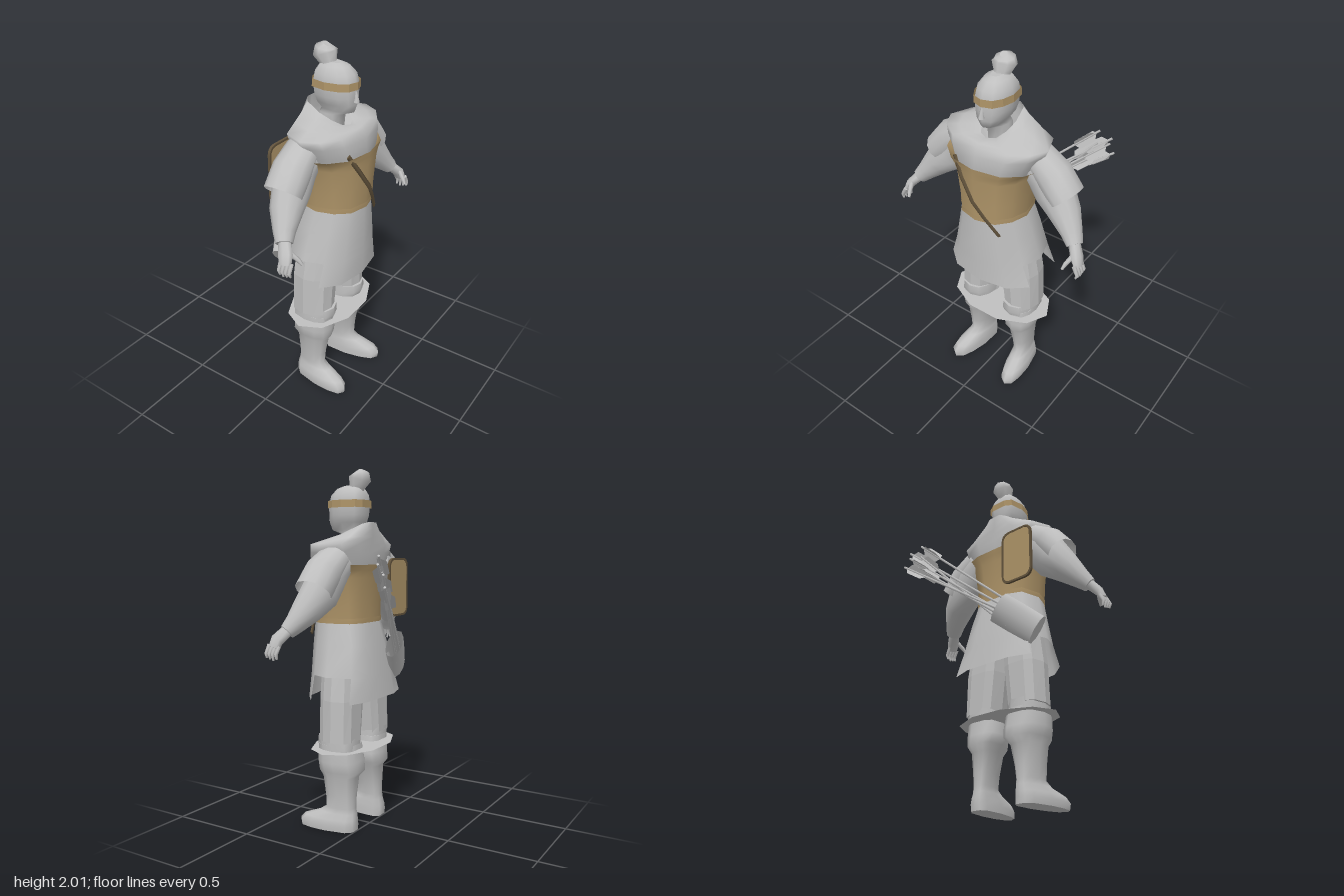
import * as THREE from 'three';

const mat = (name, color) => new THREE.MeshStandardMaterial({ name, color, side: THREE.DoubleSide });

// Half outline of a body cross-section (x, z from -1 to 1), mirrored to 12 points
const HALF = [[0, 1], [0.55, 0.85], [0.85, 0.45], [1, -0.1], [0.85, -0.8], [0.45, -1], [0, -1]];
const OUTLINE = [...HALF, ...HALF.slice(1, 6).reverse().map(([x, z]) => [-x, z])];

// Horizontal cross-section; tilt raises the front, skew turns it sideways
function oval(y, w, zf, zb, cx = 0, tilt = 0, skew = 0) {
  const cz = (zf + zb) / 2, rz = (zf - zb) / 2;
  return OUTLINE.map(([x, z]) => [cx + x * w + skew * (z * rz + cz - 0.1), y + z * tilt, cz + z * rz]);
}

// Skin a list of rings; skip(row, segment) leaves openings
function loft(rings, { flat = false, start = false, end = false, skip = () => false } = {}) {
  const n = rings[0].length, pos = rings.flat(2), index = [];
  for (let r = 0; r < rings.length - 1; r++) {
    for (let i = 0; i < n; i++) {
      if (skip(r, i)) continue;
      const a = r * n + i, b = r * n + (i + 1) % n;
      index.push(a, b, b + n, a, b + n, a + n);
    }
  }
  const cap = (ring, flip) => {
    const base = pos.length / 3, c = [0, 1, 2].map(k => ring.reduce((s, p) => s + p[k], 0) / n);
    pos.push(...ring.flat(), ...c);
    for (let i = 0; i < n; i++) {
      const a = base + i, b = base + (i + 1) % n;
      index.push(...(flip ? [b, a] : [a, b]), base + n);
    }
  };
  if (start) cap(rings[0], true);
  if (end) cap(rings[rings.length - 1], false);
  let g = new THREE.BufferGeometry();
  g.setAttribute('position', new THREE.Float32BufferAttribute(pos, 3));
  g.setIndex(index);
  if (flat) g = g.toNonIndexed();
  g.computeVertexNormals();
  return g;
}

// Skin along a path of [x, y, z, front-back radius, side radius]
function limb(path, n = 10, opts = { start: true, end: true }) {
  const pts = path.map(p => new THREE.Vector3(p[0], p[1], p[2]));
  const rings = path.map((p, k) => {
    const d = pts[Math.min(k + 1, pts.length - 1)].clone().sub(pts[Math.max(k - 1, 0)]).normalize();
    const u = new THREE.Vector3(0, 0, 1).addScaledVector(d, -d.z).normalize();
    const v = d.clone().cross(u);
    return Array.from({ length: n }, (_, i) => {
      const t = i / n * Math.PI * 2;
      return pts[k].clone().addScaledVector(u, p[3] * Math.cos(t)).addScaledVector(v, p[4] * Math.sin(t)).toArray();
    });
  });
  return loft(rings, opts);
}

function roundedRect(w, h, r) {
  const s = new THREE.Shape(), x = w / 2, y = h / 2;
  s.moveTo(-x + r, -y).lineTo(x - r, -y).quadraticCurveTo(x, -y, x, -y + r);
  s.lineTo(x, y - r).quadraticCurveTo(x, y, x - r, y).lineTo(-x + r, y);
  s.quadraticCurveTo(-x, y, -x, y - r).lineTo(-x, -y + r).quadraticCurveTo(-x, -y, -x + r, -y);
  return s;
}

export function createModel() {
  const model = new THREE.Group();
  const grey = mat('grey cloth', 0xbfbfbf), tan = mat('tan leather', 0xae9468), brown = mat('dark leather', 0x62533c);
  const add = (name, geo, m = grey, parent = model) => {
    const mesh = new THREE.Mesh(geo, m);
    mesh.name = name;
    parent.add(mesh);
    return mesh;
  };
  const closed = { start: true, end: true };

  // Head, nose, headband and topknot
  add('head', loft([
    oval(1.56, 0.06, 0.17, 0.04), oval(1.66, 0.055, 0.18, 0.05), oval(1.68, 0.05, 0.24, 0.06),
    oval(1.72, 0.078, 0.25, 0.04), oval(1.76, 0.09, 0.25, 0.03), oval(1.82, 0.097, 0.25, 0.025),
    oval(1.87, 0.088, 0.235, 0.03), oval(1.905, 0.062, 0.2, 0.05), oval(1.92, 0.03, 0.16, 0.08)], closed));
  add('nose', limb([[0, 1.735, 0.25, 0.019, 0.017], [0, 1.755, 0.25, 0.013, 0.012], [0, 1.79, 0.245, 0.006, 0.007]], 6));
  add('headband', loft([oval(1.8, 0.101, 0.258, 0.018), oval(1.84, 0.1, 0.257, 0.018)], { flat: true }), tan);
  add('topknot', limb([
    [0, 1.88, 0.09, 0.05, 0.055], [0, 1.915, 0.08, 0.045, 0.045], [0, 1.955, 0.063, 0.062, 0.066],
    [0, 1.982, 0.06, 0.05, 0.052], [0, 1.998, 0.07, 0.02, 0.02]], 8));

  // Upper robe with a standing collar, high at the back
  add('upperRobe', loft([
    oval(1.4, 0.2, 0.31, 0), oval(1.49, 0.25, 0.322, -0.015), oval(1.555, 0.285, 0.315, -0.018),
    oval(1.6, 0.305, 0.3, -0.018), oval(1.625, 0.22, 0.28, -0.02, 0, -0.015),
    oval(1.65, 0.135, 0.255, -0.02, 0, -0.035), oval(1.665, 0.085, 0.22, -0.018, 0, -0.055)]));

  // Leather corset with flared armholes, and its belt
  add('corset', loft([
    oval(1.17, 0.193, 0.328, -0.006), oval(1.28, 0.2, 0.328, -0.004), oval(1.42, 0.222, 0.333, -0.012),
    oval(1.46, 0.245, 0.336, -0.02), oval(1.49, 0.285, 0.338, -0.025)]), tan);
  add('belt', loft([oval(1.172, 0.197, 0.332, -0.01), oval(1.2, 0.197, 0.332, -0.01)]), tan);
  add('chestStrap', limb([
    [0.135, 1.105, 0.302, 0.006, 0.014], [0.06, 1.21, 0.33, 0.006, 0.014],
    [0, 1.295, 0.345, 0.006, 0.014], [-0.08, 1.41, 0.328, 0.006, 0.014], [-0.14, 1.505, 0.3, 0.006, 0.014]], 4), brown);

  // Skirt, split at both sides near the hem
  add('skirt', loft([
    oval(0.75, 0.318, 0.325, -0.078), oval(0.885, 0.268, 0.325, -0.06), oval(1.05, 0.225, 0.324, -0.035),
    oval(1.2, 0.188, 0.318, 0)], { skip: (r, i) => r === 0 && [2, 3, 8, 9].includes(i) }));

  for (const s of [1, -1]) {
    const side = s > 0 ? 'left' : 'right';

    // Legs
    add(side + 'Trouser', loft([
      oval(0.52, 0.104, 0.218, 0, s * 0.152), oval(0.75, 0.115, 0.218, 0, s * 0.135),
      oval(0.95, 0.105, 0.22, 0.01, s * 0.115)], { flat: true, start: true }));
    add(side + 'KneeWrap', loft([
      oval(0.47, 0.1, 0.225, 0, s * 0.145), oval(0.5, 0.1, 0.235, 0, s * 0.145),
      oval(0.545, 0.098, 0.232, 0, s * 0.145)], closed));
    const boot = (y, w, zf, zb, cx) => oval(y, w, zf, zb, s * cx, 0, s * 0.12);
    add(side + 'Boot', loft([
      boot(0, 0.066, 0.345, 0.005, 0.16), boot(0.035, 0.068, 0.35, 0.003, 0.162), boot(0.065, 0.063, 0.32, 0.005, 0.16),
      boot(0.1, 0.053, 0.225, 0.01, 0.155), boot(0.13, 0.05, 0.182, 0.015, 0.155), boot(0.2, 0.058, 0.185, 0.015, 0.152),
      boot(0.31, 0.076, 0.2, 0.008, 0.145), boot(0.345, 0.098, 0.222, -0.02, 0.14),
      boot(0.4, 0.108, 0.226, -0.01, 0.14), boot(0.5, 0.098, 0.222, 0, 0.145)], closed));

    // Sleeves
    const arm = (name, path, n, opts) => add(side + name, limb(path.map(([x, ...p]) => [s * x, ...p]), n, opts));
    arm('Sleeve', [
      [0.515, 1.155, 0.18, 0.045, 0.042], [0.48, 1.195, 0.155, 0.058, 0.056], [0.415, 1.27, 0.12, 0.085, 0.085],
      [0.335, 1.35, 0.095, 0.095, 0.115], [0.28, 1.43, 0.088, 0.095, 0.12], [0.19, 1.5, 0.088, 0.09, 0.09]], 12);
    arm('UpperSleeve', [
      [0.405, 1.355, 0.095, 0.105, 0.09], [0.32, 1.45, 0.09, 0.104, 0.098], [0.22, 1.53, 0.085, 0.09, 0.075]], 12, {});

    // Hand with bent fingers and thumb
    arm('Palm', [[0.57, 1.075, 0.225, 0.036, 0.018], [0.552, 1.115, 0.215, 0.042, 0.026], [0.505, 1.17, 0.175, 0.032, 0.03]], 8);
    for (let f = 0; f < 4; f++) {
      const z = 0.195 + f * 0.021;
      arm('Finger' + (f + 1), [[0.578, 1.012 + Math.abs(f - 1) * 0.006, z + 0.005, 0.006, 0.006],
        [0.586, 1.045, z + 0.003, 0.011, 0.01], [0.562, 1.09, z, 0.012, 0.012]], 6);
    }
    arm('Thumb', [[0.512, 1.068, 0.288, 0.007, 0.007], [0.52, 1.095, 0.268, 0.013, 0.012], [0.54, 1.135, 0.225, 0.015, 0.015]], 6);
  }

  // Flat cloth disc around the knees
  const disc = add('kneeDisc', new THREE.CircleGeometry(1, 10).rotateX(-Math.PI / 2));
  disc.scale.set(0.317, 1, 0.2);
  disc.position.set(0.005, 0.47, 0.107);

  // Padded plate on the back
  const plate = new THREE.Group();
  plate.name = 'backPlate';
  plate.position.set(-0.205, 1.36, -0.068);
  add('platePanel', new THREE.ExtrudeGeometry(roundedRect(0.19, 0.31, 0.05), { depth: 0.008, bevelEnabled: false }), tan, plate);
  const rim = roundedRect(0.21, 0.33, 0.055);
  rim.holes.push(roundedRect(0.188, 0.308, 0.05));
  add('plateRim', new THREE.ExtrudeGeometry(rim, { depth: 0.014, bevelEnabled: false }).translate(0, 0, -0.003), brown, plate);
  model.add(plate);

  // Quiver slung low across the back
  add('quiver', limb([[-0.295, 0.885, -0.01, 0.042, 0.085], [-0.2, 0.965, -0.055, 0.045, 0.09],
    [-0.105, 1.045, -0.1, 0.045, 0.09]], 10, { start: true }));

  // Arrows fanning out of the quiver, feathers up
  const up = new THREE.Vector3(0, 1, 0);
  const feather = new THREE.Shape([[0, 0], [0.034, 0.025], [0.034, 0.12], [0, 0.15]].map(p => new THREE.Vector2(...p)));
  const tips = [[0.36, 1.54, -0.27], [0.42, 1.5, -0.3], [0.4, 1.45, -0.32], [0.42, 1.39, -0.34], [0.34, 1.37, -0.31], [0.35, 1.46, -0.28]];
  tips.forEach((tip, k) => {
    const a = new THREE.Vector3(-0.17 + (k % 3 - 1) * 0.025, 1.04 - k * 0.022, -0.075 - (k % 2) * 0.012);
    const dir = new THREE.Vector3(...tip).sub(a), len = dir.length();
    const arrow = new THREE.Group();
    arrow.name = 'arrow' + (k + 1);
    arrow.position.copy(a);
    arrow.quaternion.setFromUnitVectors(up, dir.normalize());
    add('shaft', new THREE.CylinderGeometry(0.007, 0.007, len, 6).translate(0, len / 2, 0), grey, arrow);
    for (let f = 0; f < 3; f++) {
      const fin = add('feather', new THREE.ShapeGeometry(feather), grey, arrow);
      fin.position.y = len - 0.17;
      fin.rotation.y = f * Math.PI * 2 / 3 + k;
    }
    model.add(arrow);
  });

  return model;
}
